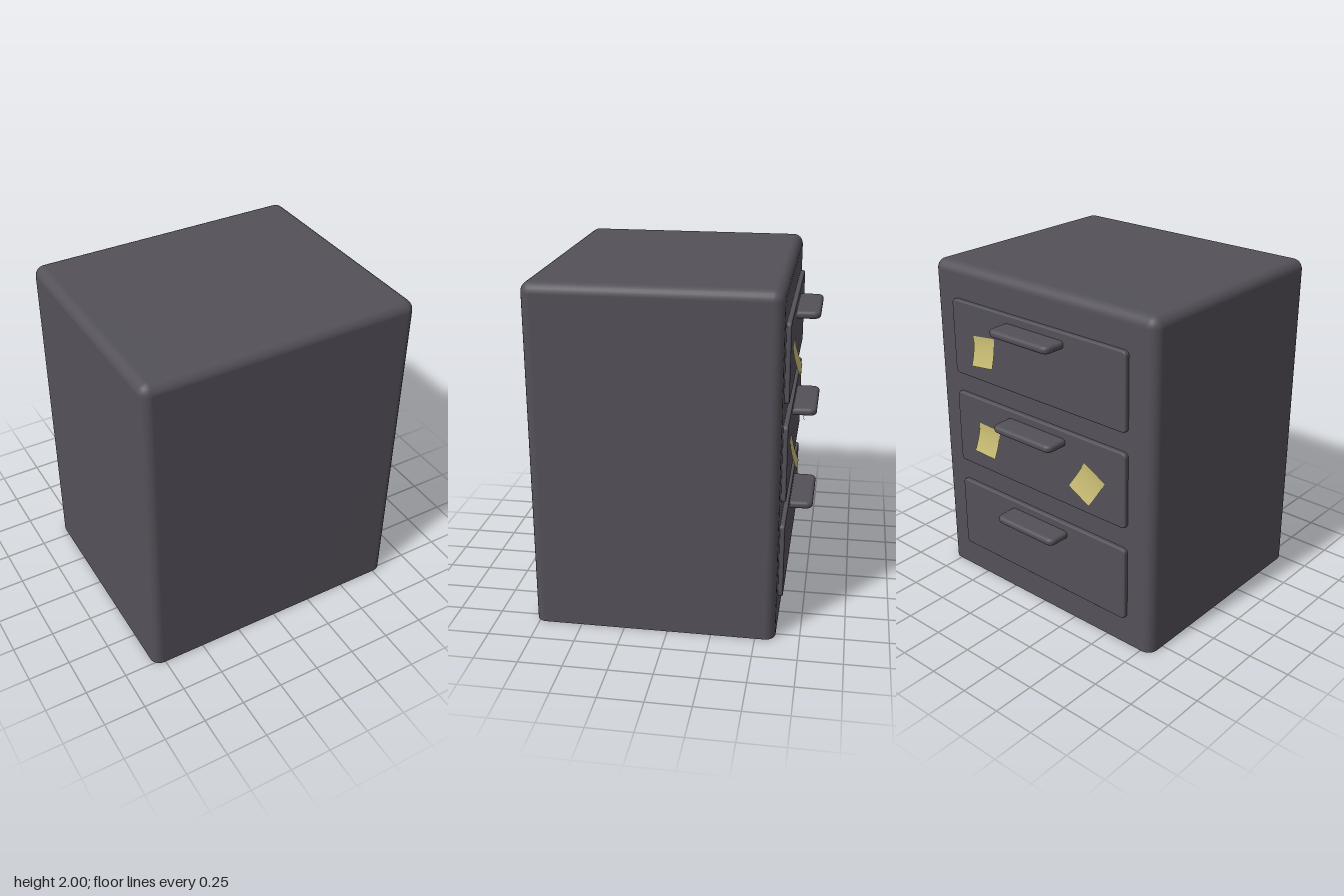
import * as THREE from 'three';

// Rounded block standing on y = 0, built from stacked rounded-rectangle rings.
// closed: the bottom is rounded and capped too; otherwise it is left open.
function roundedBlock(w, h, d, corner, edge, closed = false) {
  const steps = 6, rings = [];
  if (closed) {
    for (let i = 0; i < steps; i++) {
      const a = (i / steps) * Math.PI / 2;
      rings.push([edge * (1 - Math.cos(a)), edge * (1 - Math.sin(a)), i]);
    }
    for (const ring of rings) {
      const a = (ring[2] / steps) * Math.PI / 2;
      ring[0] = edge * (1 - Math.cos(a));
      ring[1] = edge * (1 - Math.sin(a));
    }
    // swap so the lowest ring is the most inset one
    rings.forEach((ring, i) => {
      const a = (i / steps) * Math.PI / 2;
      ring[0] = edge * (1 - Math.sin(a));
      ring[1] = edge * (1 - Math.cos(a));
    });
  } else {
    rings.push([0, 0]);
  }
  for (let i = 0; i <= steps; i++) {
    const a = (i / steps) * Math.PI / 2;
    rings.push([edge * (1 - Math.cos(a)), h - edge + edge * Math.sin(a)]);
  }

  const pos = [], idx = [], n = 4 * (steps + 1);
  for (const [inset, y] of rings) {
    const r = Math.max(corner - inset, 0.0005);
    for (let q = 0; q < 4; q++) {
      const sx = q === 0 || q === 3 ? 1 : -1, sz = q < 2 ? 1 : -1;
      for (let k = 0; k <= steps; k++) {
        const a = (q + k / steps) * Math.PI / 2;
        pos.push(sx * (w / 2 - inset - r) + r * Math.cos(a), y, sz * (d / 2 - inset - r) + r * Math.sin(a));
      }
    }
  }
  for (let j = 0; j < rings.length - 1; j++) {
    for (let i = 0; i < n; i++) {
      const a = j * n + i, b = j * n + (i + 1) % n;
      idx.push(a, a + n, b, b, a + n, b + n);
    }
  }
  const top = (rings.length - 1) * n, centre = pos.length / 3;
  pos.push(0, h, 0);
  for (let i = 0; i < n; i++) idx.push(centre, top + (i + 1) % n, top + i);
  if (closed) {
    pos.push(0, 0, 0);
    for (let i = 0; i < n; i++) idx.push(centre + 1, i, (i + 1) % n);
  }
  const geo = new THREE.BufferGeometry();
  geo.setAttribute('position', new THREE.Float32BufferAttribute(pos, 3));
  geo.setIndex(idx);
  geo.computeVertexNormals();
  return geo;
}

// Paper square stuck along its top edge, curling away towards the bottom
function noteGeometry(size, angle) {
  const geo = new THREE.PlaneGeometry(size, size, 1, 8);
  const p = geo.attributes.position;
  for (let i = 0; i < p.count; i++) {
    const t = 0.5 - p.getY(i) / size;
    p.setZ(i, 0.002 + 0.043 * Math.pow(t, 1.7));
  }
  geo.computeVertexNormals();
  return geo.rotateZ(angle).rotateY(Math.PI);
}

export function createModel() {
  const model = new THREE.Group();
  model.name = 'filingCabinet';

  const metal = new THREE.MeshStandardMaterial({ color: 0x545159, side: THREE.DoubleSide });
  metal.name = 'dark grey metal';
  const paper = new THREE.MeshStandardMaterial({ color: 0xc4b870, side: THREE.DoubleSide });
  paper.name = 'yellow paper';

  const add = (name, geo, mat, x, y, z, parent = model) => {
    const mesh = new THREE.Mesh(geo, mat);
    mesh.name = name;
    mesh.position.set(x, y, z);
    parent.add(mesh);
    return mesh;
  };

  // Cabinet shell, open underneath
  add('cabinetShell', roundedBlock(1.64, 2, 1.385, 0.06, 0.06), metal, 0, 0, 0.0795);

  // Three drawers, each a thin panel with a ledge handle
  const panelGeo = roundedBlock(1.3, 0.027, 0.455, 0.025, 0.01).rotateX(-Math.PI / 2);
  const handleGeo = roundedBlock(0.445, 0.045, 0.165, 0.04, 0.02, true);
  [1.57, 0.995, 0.405].forEach((y, i) => {
    const drawer = new THREE.Group();
    drawer.name = 'drawer' + (i + 1);
    drawer.position.set(0, y, 0);
    model.add(drawer);
    add('drawerPanel', panelGeo, metal, 0, 0, -0.613, drawer);
    add('drawerHandle', handleGeo, metal, 0, 0.135, -0.6925, drawer);
  });

  // Sticky notes: x, y, tilt in degrees
  [[0.385, 1.538, 7], [0.385, 0.98, -2], [-0.395, 0.965, -28]].forEach(([x, y, tilt]) => {
    add('stickyNote', noteGeometry(0.168, THREE.MathUtils.degToRad(tilt)), paper, x, y, -0.64);
  });

  return model;
}
